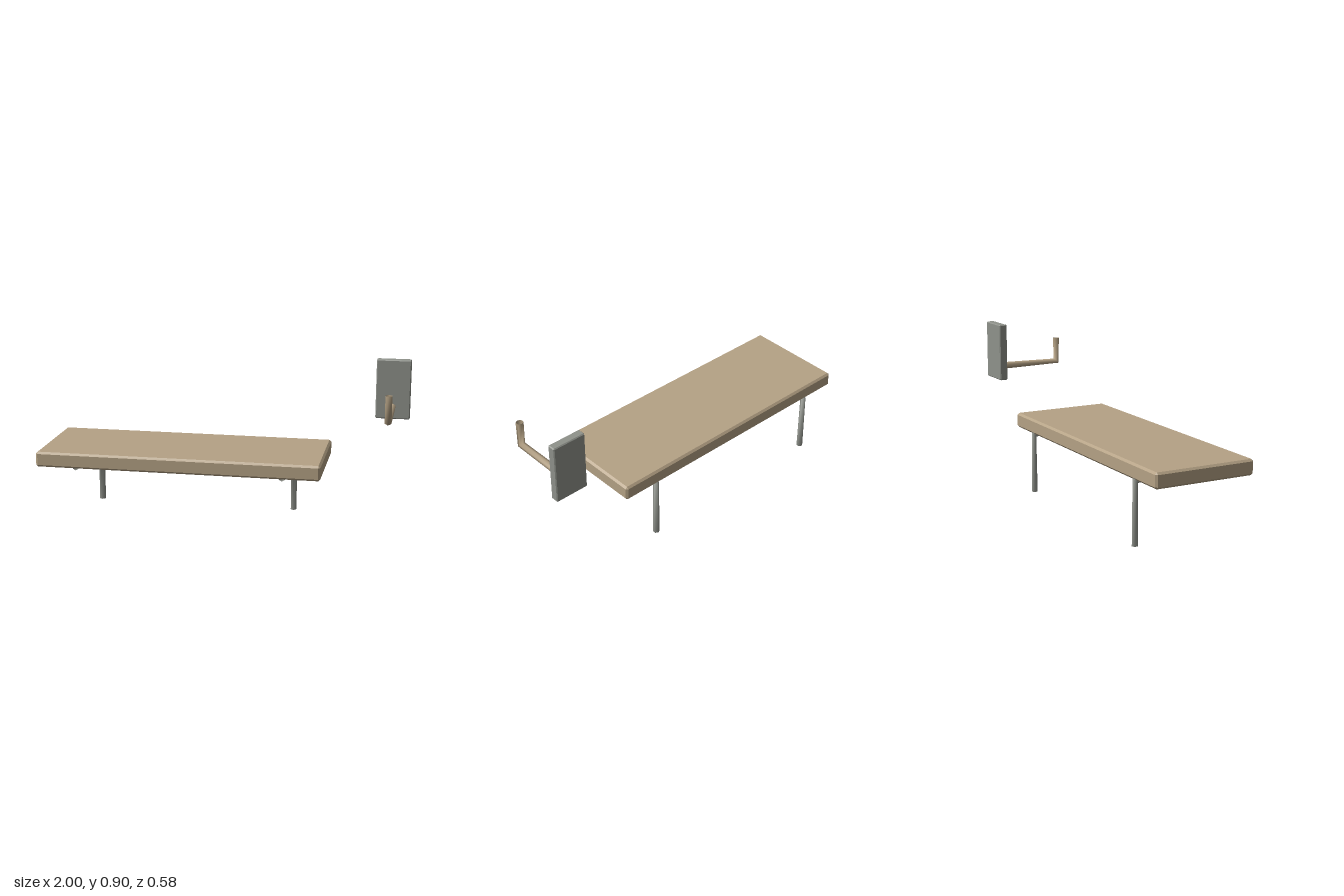
import * as THREE from 'three';
import { ConvexGeometry } from 'three/addons/geometries/ConvexGeometry.js';

const wood = new THREE.MeshStandardMaterial({ name: 'wood', color: 0xb5a285, side: THREE.DoubleSide });
const metal = new THREE.MeshStandardMaterial({ name: 'greyMetal', color: 0x8f928b, side: THREE.DoubleSide });

// Box with every edge chamfered by c
function chamferBox(w, h, d, c) {
  const points = [];
  for (const sx of [-1, 1]) for (const sy of [-1, 1]) for (const sz of [-1, 1]) {
    const x = w / 2, y = h / 2, z = d / 2;
    points.push(
      new THREE.Vector3(sx * x, sy * (y - c), sz * (z - c)),
      new THREE.Vector3(sx * (x - c), sy * y, sz * (z - c)),
      new THREE.Vector3(sx * (x - c), sy * (y - c), sz * z));
  }
  return new ConvexGeometry(points);
}

// Open bent rod in the yz plane; each station is [y, z, tangentY, tangentZ]
function bentRod(stations, radius, sides = 6) {
  const pos = [], idx = [];
  for (const [y, z, ty, tz] of stations) {
    const l = Math.hypot(ty, tz);
    for (let i = 0; i < sides; i++) {
      const a = (i / sides) * Math.PI * 2;
      const n = Math.cos(a) * radius;
      pos.push(Math.sin(a) * radius, y + n * tz / l, z - n * ty / l);
    }
  }
  for (let s = 0; s < stations.length - 1; s++) for (let i = 0; i < sides; i++) {
    const a = s * sides + i, b = s * sides + (i + 1) % sides;
    idx.push(a, b, a + sides, b, b + sides, a + sides);
  }
  const geo = new THREE.BufferGeometry();
  geo.setAttribute('position', new THREE.Float32BufferAttribute(pos, 3));
  geo.setIndex(idx);
  geo.computeVertexNormals();
  return geo;
}

export function createModel() {
  const model = new THREE.Group();
  model.name = 'shelfAndHook';
  const add = (name, geo, mat, x, y, z) => {
    const mesh = new THREE.Mesh(geo, mat);
    mesh.name = name;
    mesh.position.set(x, y, z);
    model.add(mesh);
  };

  // Shelf board
  add('shelfBoard', chamferBox(1.565, 0.084, 0.57, 0.011), wood, -0.2175, 0.382, 0.005);

  // L-shaped brackets under the board
  const bracket = bentRod([[0, -0.27, 1, 0], [0.335, -0.27, 1, 1], [0.335, 0.243, 0, 1]], 0.018);
  add('rightBracket', bracket, metal, -0.787, 0, 0);
  add('leftBracket', bracket, metal, 0.355, 0, 0);

  // Wall plate and coat hook
  add('hookPlate', chamferBox(0.19, 0.332, 0.047, 0.005), metal, 0.905, 0.739, -0.246);
  const hook = bentRod([[0.645, -0.21, 0, 1], [0.645, 0.148, 1, 1], [0.787, 0.148, 1, 0]], 0.0205);
  add('coatHook', hook, wood, 0.902, 0, 0);

  return model;
}
